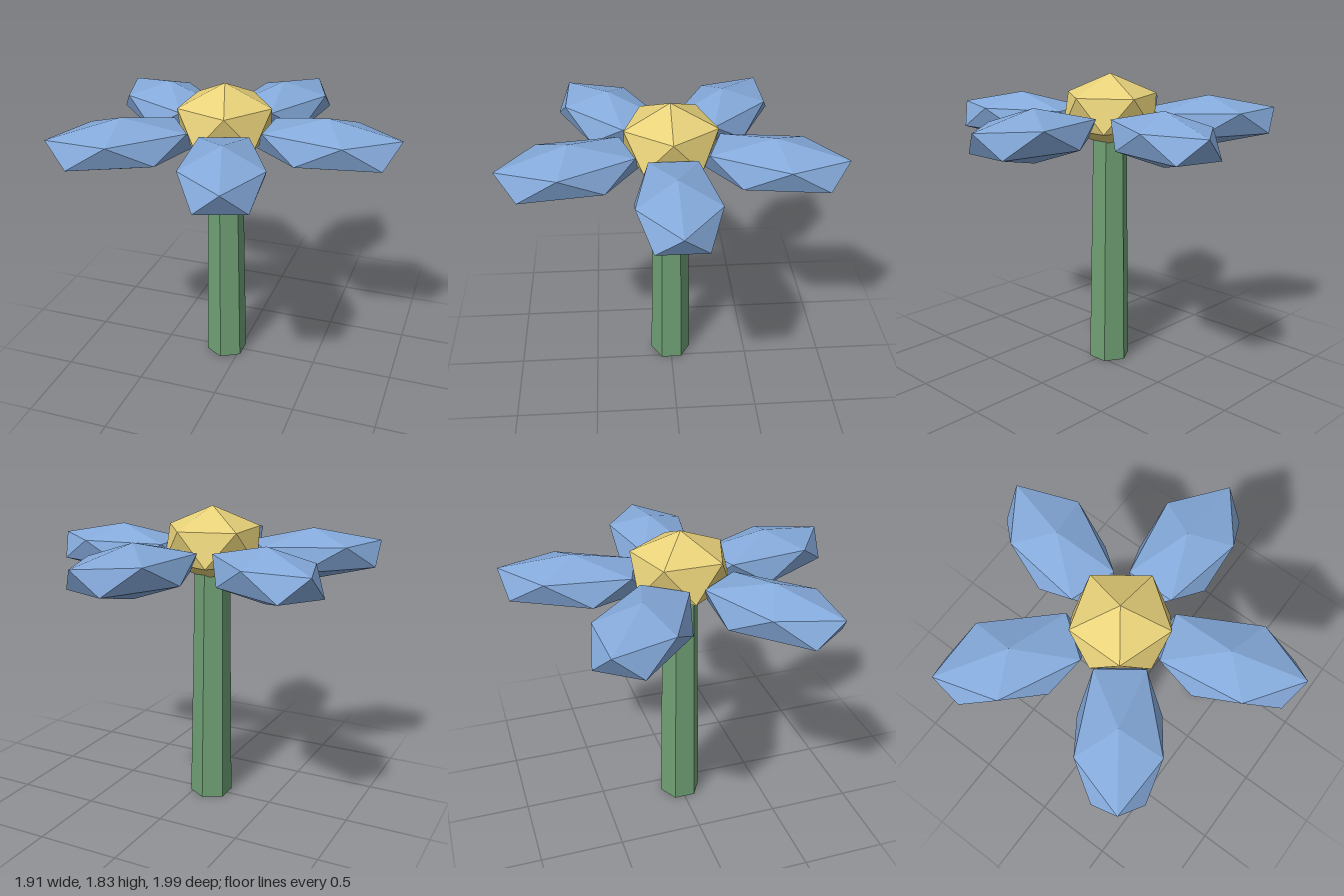
import * as THREE from 'three';

// Faceted icosahedron with one corner straight up and an upper-ring corner on +x
function gem(rx, ry, rz) {
  const geometry = new THREE.IcosahedronGeometry(1, 0);
  geometry.rotateZ(-Math.atan(2 / (1 + Math.sqrt(5))));
  return geometry.scale(rx, ry, rz);
}

function addPart(parent, name, geometry, material, x, y) {
  const mesh = new THREE.Mesh(geometry, material);
  mesh.name = name;
  mesh.position.set(x, y, 0);
  parent.add(mesh);
}

export function createModel() {
  const paint = (color) => new THREE.MeshStandardMaterial({ color, flatShading: true });
  const green = paint(0x6f9f74), yellow = paint(0xe8d27a), blue = paint(0x85aadb);

  const flower = new THREE.Group();
  flower.name = 'flower';
  flower.position.x = -0.095;

  // Tapered six-sided stem, its top tucked into the flower centre
  const stemHeight = 1.44;
  addPart(flower, 'stem', new THREE.CylinderGeometry(0.106, 0.13, stemHeight, 6), green, 0, stemHeight / 2);

  // Flattened flower centre
  addPart(flower, 'flowerCentre', gem(0.32, 0.225, 0.32), yellow, 0, 1.6);

  // Five long petals around the centre
  const petalGeometry = gem(0.48, 0.156, 0.27);
  for (let i = 0; i < 5; i++) {
    const arm = new THREE.Group();
    arm.name = `petalArm${i + 1}`;
    arm.rotation.y = (i * Math.PI * 2) / 5;
    addPart(arm, `petal${i + 1}`, petalGeometry, blue, 0.615, 1.525);
    flower.add(arm);
  }

  const model = new THREE.Group();
  model.name = 'flowerModel';
  model.add(flower);
  return model;
}
